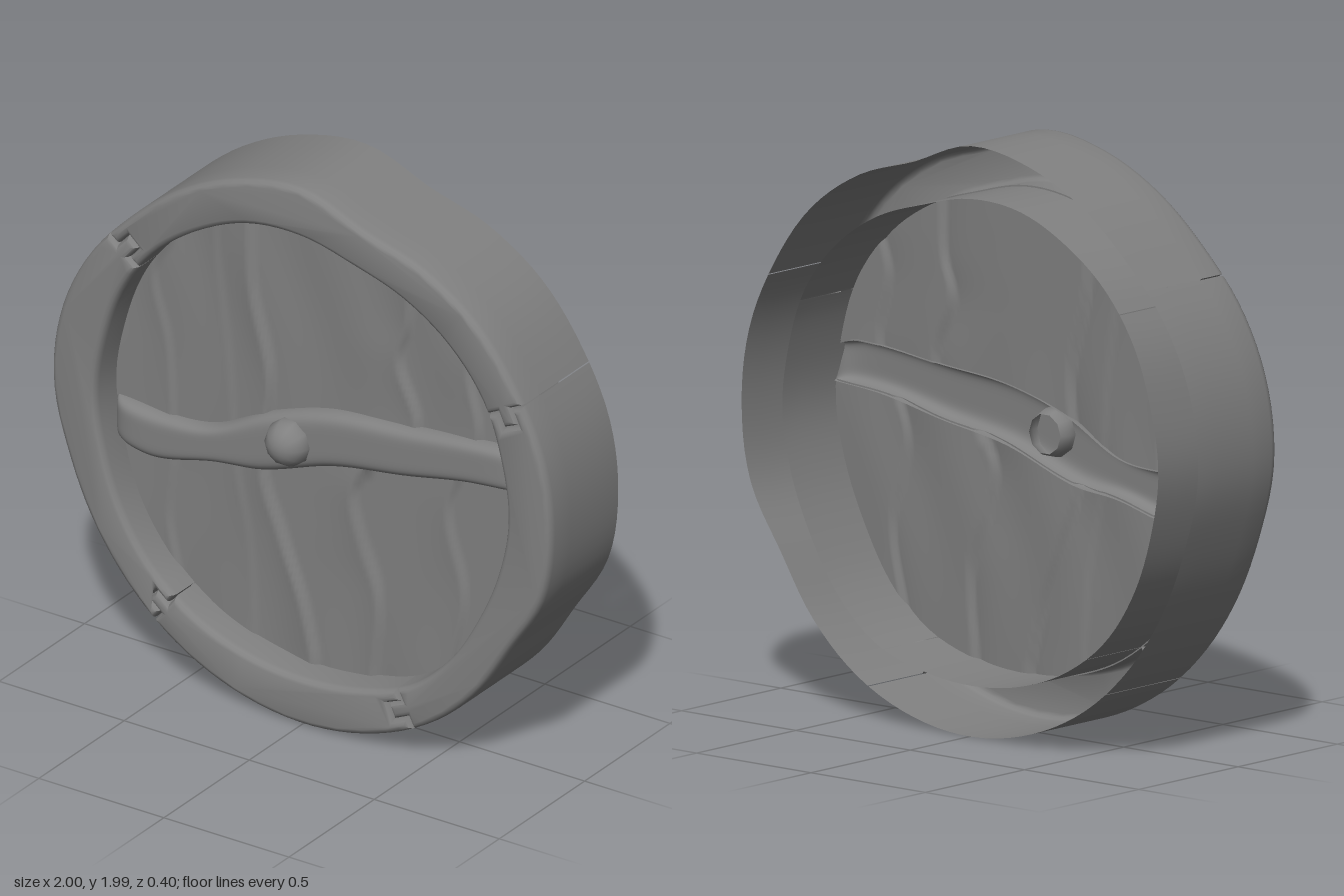
import * as THREE from 'three';
import { mergeVertices, toCreasedNormals } from 'three/addons/utils/BufferGeometryUtils.js';

const material = new THREE.MeshStandardMaterial({ color: 0x808080, side: THREE.DoubleSide });
const RAD = Math.PI / 180;

// Rim radii around the centre, every 15 degrees from +x
const OUTER = [.998, .998, .987, .985, .967, .945, .998, .995, .985, .978, .995, 1.004,
  .998, .97, .965, .97, .98, .987, .992, .99, .985, .97, .955, .993];
const INNER = [.82, .822, .835, .83, .815, .8, .82, .834, .832, .835, .83, .82,
  .825, .82, .83, .84, .835, .825, .82, .825, .84, .825, .806, .808];

// Smooth closed interpolation of a radius table
function radius(table, deg) {
  const n = table.length, t = (((deg % 360) + 360) % 360) / 15;
  const i = Math.floor(t), f = t - i, p = k => table[(i + k + n) % n];
  return p(0) + 0.5 * f * (p(1) - p(-1) + f * (2 * p(-1) - 5 * p(0) + 4 * p(1) - p(2)
    + f * (3 * (p(0) - p(1)) + p(2) - p(-1))));
}

// Smooth curve through [t, value] pairs
function curve(pairs, t) {
  const last = pairs.length - 1;
  if (t <= pairs[0][0]) return pairs[0][1];
  if (t >= pairs[last][0]) return pairs[last][1];
  const i = pairs.findIndex(p => t < p[0]) - 1;
  const slope = k => {
    const a = pairs[Math.max(k - 1, 0)], b = pairs[Math.min(k + 1, last)];
    return (b[1] - a[1]) / (b[0] - a[0]);
  };
  const [t0, v0] = pairs[i], [t1, v1] = pairs[i + 1];
  const w = t1 - t0, f = (t - t0) / w, g = 1 - f;
  return v0 * g * g * (1 + 2 * f) + v1 * f * f * (1 + 2 * g) + w * f * g * (slope(i) * g - slope(i + 1) * f);
}

// Surface over a u, v grid
function sheet(nu, nv, point) {
  const pos = [], idx = [];
  for (let i = 0; i <= nu; i++) {
    for (let j = 0; j <= nv; j++) {
      pos.push(...point(i / nu, j / nv));
      if (i < nu && j < nv) {
        const a = i * (nv + 1) + j, b = a + nv + 1;
        idx.push(a, b, b + 1, a, b + 1, a + 1);
      }
    }
  }
  const geo = new THREE.BufferGeometry();
  geo.setAttribute('position', new THREE.Float32BufferAttribute(pos, 3));
  geo.setIndex(idx);
  geo.computeVertexNormals();
  return geo;
}

// Point on the rim band: f = 0 inner edge, f = 1 outer edge
function rimPoint(deg, f) {
  const r = THREE.MathUtils.lerp(radius(INNER, deg), radius(OUTER, deg), f);
  return new THREE.Vector2(r * Math.cos(deg * RAD), 1 + r * Math.sin(deg * RAD));
}

// Rim piece with a tongue at its start, a socket at its end and an open back
function rimPiece(start, end) {
  const gap = 0.12, tongue = 3.8, steps = Math.round((end - start) / 3);
  const pts = [], a = start + gap, b = end - gap;
  for (let i = 0; i <= steps; i++) pts.push(rimPoint(a + (b - a) * i / steps, 1));
  for (const [d, f] of [[0, .69], [tongue, .69], [tongue, .31], [0, .31]]) pts.push(rimPoint(b - d, f));
  for (let i = steps; i >= 0; i--) pts.push(rimPoint(a + (b - a) * i / steps, 0));
  for (const [d, f] of [[0, .31], [tongue, .31], [tongue, .69], [0, .69]]) pts.push(rimPoint(a - d, f));

  const solid = new THREE.ExtrudeGeometry(new THREE.Shape(pts), {
    depth: 0.37, steps: 4, bevelThickness: 0.03, bevelSize: 0.021, bevelOffset: -0.021, bevelSegments: 3,
  });
  // Drop the back cap and back bevel, and keep the joint walls shallow
  const p = solid.attributes.position, kept = [];
  const inJoint = k => {
    const x = p.getX(k), y = p.getY(k) - 1, deg = Math.atan2(y, x) / RAD;
    const lo = radius(INNER, deg), f = (Math.hypot(x, y) - lo) / (radius(OUTER, deg) - lo);
    return f > 0.2 && f < 0.8;
  };
  for (let i = 0; i < p.count; i += 3) {
    const tri = [i, i + 1, i + 2], top = Math.max(...tri.map(k => p.getZ(k)));
    if (top < 1e-5 || (top < 0.3 && tri.some(inJoint))) continue;
    for (const k of tri) kept.push(p.getX(k), p.getY(k), p.getZ(k) - 0.2);
  }
  const geo = new THREE.BufferGeometry();
  geo.setAttribute('position', new THREE.Float32BufferAttribute(kept, 3));
  return toCreasedNormals(mergeVertices(geo, 1e-5), 0.8);
}

// Upper and lower edges of the crossbar, as [x, y]
const BAR_TOP = [[-.82, .95], [-.6, .94], [-.42, .96], [-.2, 1.07], [.05, 1.145], [.35, 1.175], [.72, 1.21], [.82, 1.19]];
const BAR_BOTTOM = [[-.82, .81], [-.75, .78], [-.63, .77], [-.42, .82], [-.22, .845], [.06, .94], [.35, .99], [.6, 1.04], [.82, 1.06]];

// Plank seams: height of the lip, then the path as [y, x]
const SEAMS = [
  [.008, [[.35, -.58], [.55, -.62], [.78, -.6], [1.2, -.62], [1.45, -.68], [1.6, -.6]]],
  [.005, [[.3, -.28], [.6, -.3], [.85, -.35], [1.2, -.38], [1.6, -.43]]],
  [.018, [[.2, -.03], [.4, -.08], [.6, -.16], [.85, -.24], [1.2, -.21], [1.5, -.28], [1.8, -.29]]],
  [.015, [[.2, .2], [.5, .22], [.7, .15], [.9, .13], [1.15, .37], [1.4, .3], [1.55, .34], [1.8, .35]]],
  [.012, [[.3, .5], [.6, .56], [.92, .5], [1.2, .62], [1.45, .58], [1.6, .62]]],
];

// Plank relief: a soft lip on one side of every seam, with a faint grain
function plankZ(x, y) {
  let z = 0.07 + 0.003 * Math.sin(17 * x + 2 * Math.sin(4 * y));
  for (const [lip, path] of SEAMS) {
    const d = x - curve(path, y);
    z += lip * (d < 0 ? Math.exp(d / 0.09) : Math.max(0, 1 - d / 0.025));
  }
  return z;
}

export function createModel() {
  const model = new THREE.Group();
  const add = (name, geo) => {
    const mesh = new THREE.Mesh(geo, material);
    mesh.name = name;
    model.add(mesh);
    return mesh;
  };

  // Four interlocking rim pieces
  const joints = [27, 141.8, 232.5, 296.8, 387];
  const names = ['rimTop', 'rimRightSide', 'rimBottom', 'rimLeftSide'];
  names.forEach((name, i) => add(name, rimPiece(joints[i], joints[i + 1])));

  // Planks above and below the crossbar
  const planks = (from, to, edge, tuck, upper) => sheet(200, 24, (u, v) => {
    const deg = from + (to - from) * u, rim = rimPoint(deg, 0.03);
    const bar = curve(edge, rim.x) + tuck;
    const y = upper ? bar + (rim.y - bar) * v : rim.y + (bar - rim.y) * v;
    return [rim.x, y, plankZ(rim.x, y)];
  });
  add('upperPlanks', planks(184, 13, BAR_TOP, -0.006, true));
  add('lowerPlanks', planks(193, 364.5, BAR_BOTTOM, 0.006, false));

  // Crossbar: a hollow-backed strip with rounded edges and ends
  add('crossbar', sheet(80, 24, (u, v) => {
    const e = -Math.cos(Math.PI * u), x = 0.82 * e, s = -Math.cos(Math.PI * v);
    const lo = curve(BAR_BOTTOM, x), hi = curve(BAR_TOP, x);
    const round = Math.sqrt(Math.max(0, 1 - s ** 6)) * Math.sqrt(Math.max(0, 1 - e ** 20));
    return [x, (lo + hi) / 2 + s * (hi - lo) / 2, 0.06 + 0.062 * round];
  }));

  // Domed stud on the crossbar, open behind
  const dome = new THREE.SphereGeometry(0.085, 10, 10, 0, Math.PI * 2, 0, Math.PI * 0.7);
  add('stud', dome.rotateX(Math.PI / 2)).position.set(-0.1, 1, 0.113);

  return model;
}
